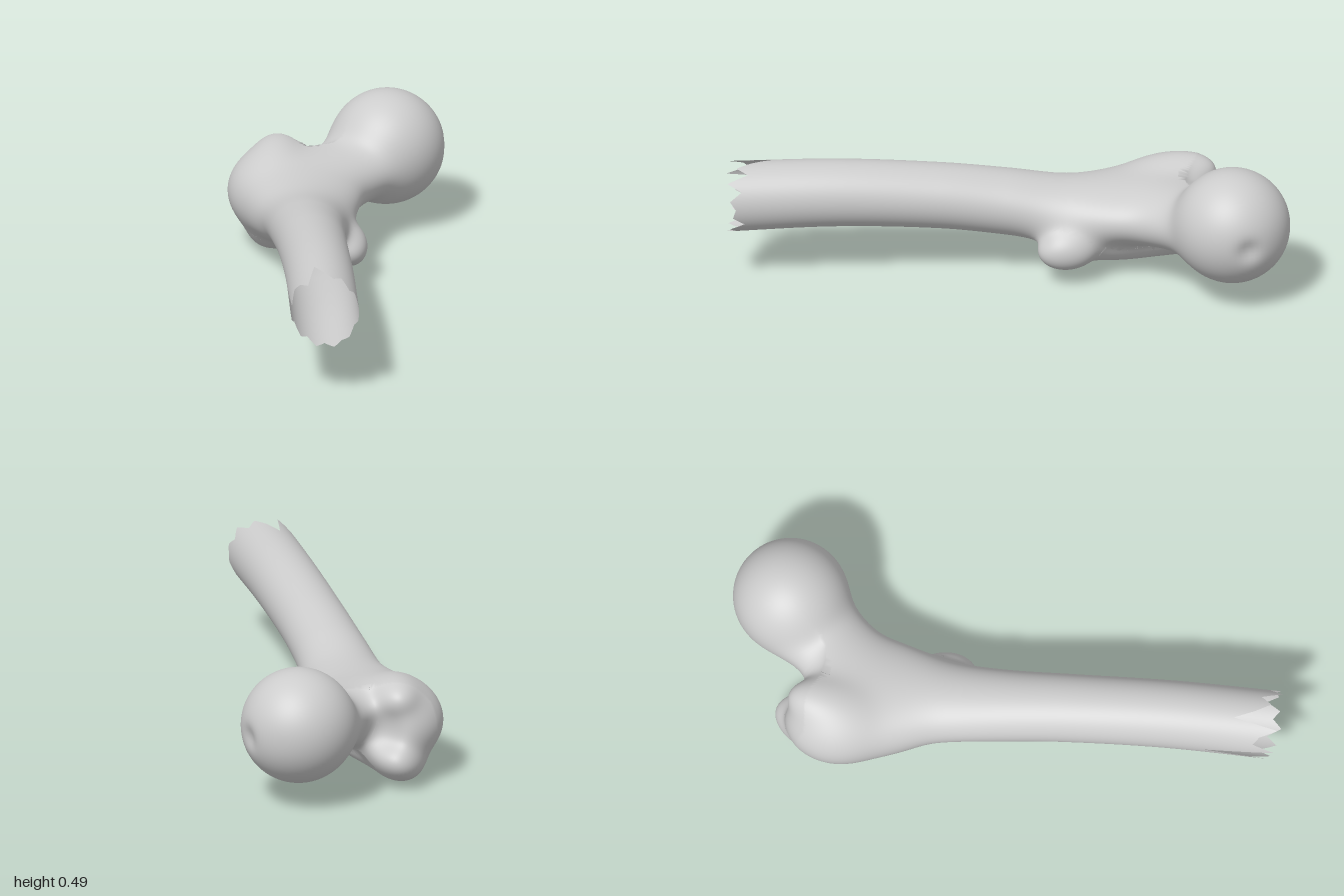
import * as THREE from 'three';

const BLEND = 0.029; // width of the fillets between parts
const Z = new THREE.Vector3(0, 0, 1);

// Ellipsoidal parts: centre, radii and direction of the long (z) axis
const lump = (name, center, radii, dir = [0, 0, 1]) => {
  const turn = new THREE.Quaternion().setFromUnitVectors(Z, new THREE.Vector3(...dir).normalize());
  return { name, c: new THREE.Vector3(...center), r: new THREE.Vector3(...radii), turn, back: turn.clone().invert() };
};
const lumps = [
  lump('head', [0.178, 0.295, -0.797], [0.202, 0.204, 0.202]),
  lump('neck', [0.035, 0.25, -0.625], [0.15, 0.098, 0.31], [-0.61, -0.1, 0.79]),
  lump('greaterTrochanter', [-0.23, 0.215, -0.56], [0.138, 0.125, 0.165]),
  lump('trochanterTop', [-0.2, 0.3, -0.585], [0.075, 0.072, 0.14], [0, 0.25, -1]),
  lump('trochanterFlank', [-0.2, 0.195, -0.42], [0.1, 0.09, 0.18], [-0.25, 0, -1]),
  lump('trochanterHook', [-0.195, 0.108, -0.59], [0.11, 0.086, 0.185], [0.06, 0.02, -1]),
  lump('trochantericCrest', [-0.06, 0.105, -0.385], [0.06, 0.055, 0.2], [0.5, 0.2, 0.8]),
  lump('lesserTrochanter', [0.073, 0.132, -0.205], [0.056, 0.06, 0.088], [0.1, 0, 1]),
];

// Shaft sections: z, centre x, half width, centre y, half height
const sections = [
  [-0.6, -0.09, 0.18, 0.25, 0.085], [-0.4, -0.09, 0.188, 0.235, 0.102], [-0.2, -0.083, 0.147, 0.23, 0.113],
  [0, -0.067, 0.13, 0.26, 0.115], [0.24, -0.04, 0.122, 0.293, 0.115], [0.6, 0, 0.12, 0.318, 0.119],
  [1, 0.037, 0.121, 0.315, 0.125],
];
function sectionAt(z) {
  const last = sections.length - 1;
  let i = 0;
  while (i < last - 1 && z > sections[i + 1][0]) i++;
  const at = (n) => sections[Math.min(last, Math.max(0, n))];
  const a = at(i), b = at(i + 1);
  const span = b[0] - a[0];
  const t = THREE.MathUtils.clamp((z - a[0]) / span, 0, 1);
  const slope = (n, k) => (at(n + 1)[k] - at(n - 1)[k]) / (at(n + 1)[0] - at(n - 1)[0]) * span;
  const t2 = t * t, t3 = t2 * t;
  return [1, 2, 3, 4].map((k) =>
    (2 * t3 - 3 * t2 + 1) * a[k] + (t3 - 2 * t2 + t) * slope(i, k)
    + (3 * t2 - 2 * t3) * b[k] + (t3 - t2) * slope(i + 1, k));
}

// Approximate distances to the parts
const q = new THREE.Vector3();
function lumpDistance(p, { c, r, back }) {
  q.copy(p).sub(c).applyQuaternion(back).divide(r);
  const k0 = q.length();
  const k1 = q.divide(r).length();
  return k1 < 1e-6 ? -Math.min(r.x, r.y, r.z) : k0 * (k0 - 1) / k1;
}
function shaftDistance(p) {
  const [cx, rx, cy, ry] = sectionAt(p.z);
  const x = (p.x - cx) / rx, y = (p.y - cy) / ry;
  const k0 = Math.hypot(x, y), k1 = Math.hypot(x / rx, y / ry);
  const side = k1 < 1e-6 ? -ry : k0 * (k0 - 1) / k1;
  return Math.max(side, -0.6 - p.z);
}

// Hollows: the pit on the head and the one behind the trochanter
const pits = [
  { c: new THREE.Vector3(0.362, 0.28, -0.86), depth: 0.018, size: 0.04 },
  { c: new THREE.Vector3(-0.13, 0.22, -0.74), depth: 0.045, size: 0.06 },
];
function distance(p) {
  let sum = Math.exp(-shaftDistance(p) / BLEND);
  for (const l of lumps) sum += Math.exp(-lumpDistance(p, l) / BLEND);
  let d = -BLEND * Math.log(Math.max(sum, 1e-200));
  for (const { c, depth, size } of pits) d += depth * Math.exp(-p.distanceToSquared(c) / (size * size));
  return d;
}
const e = 0.0015, probe = new THREE.Vector3();
function gradient(p, out) {
  for (const k of ['x', 'y', 'z']) {
    probe.copy(p)[k] += e;
    const d = distance(probe);
    probe[k] -= 2 * e;
    out[k] = (d - distance(probe)) / (2 * e);
  }
  return out;
}

// Move a part's vertices onto the blended surface, leaving buried ones inside
function blend(geometry, keepZ = false) {
  const pos = geometry.attributes.position;
  const normals = new Float32Array(pos.count * 3);
  const p = new THREE.Vector3(), g = new THREE.Vector3();
  for (let i = 0; i < pos.count; i++) {
    p.fromBufferAttribute(pos, i);
    const fade = THREE.MathUtils.smoothstep(distance(p), -4 * BLEND, -2.2 * BLEND);
    for (let n = 0; n < 5 && fade > 0; n++) {
      const d = THREE.MathUtils.clamp(distance(p), -0.03, 0.03);
      gradient(p, g);
      if (keepZ && p.z > 0.2) g.z = 0;
      p.addScaledVector(g, -d * fade / Math.max(g.lengthSq(), 0.25));
    }
    pos.setXYZ(i, p.x, p.y, p.z);
    gradient(p, g).normalize().toArray(normals, i * 3);
  }
  geometry.setAttribute('normal', new THREE.BufferAttribute(normals, 3));
  return geometry;
}

// Hollow shaft, open at a splintered end
const splinters = [0.95, 0.97, 0.93, 0.98, 0.91, 0.95, 0.9, 0.83, 0.99, 0.93, 0.91, 0.99,
  0.74, 0.96, 0.9, 0.97, 0.92, 0.98, 0.94, 0.985, 0.95, 0.97, 0.92, 0.96];
function shaftGeometry() {
  const around = 96, rows = 80, points = [], index = [];
  for (let j = 0; j <= rows; j++) {
    for (let i = 0; i <= around; i++) {
      const s = (i % around) / around * splinters.length, n = Math.floor(s);
      const end = THREE.MathUtils.lerp(splinters[n], splinters[(n + 1) % splinters.length], s - n);
      const z = THREE.MathUtils.lerp(-0.598, end, j / rows);
      const [cx, rx, cy, ry] = sectionAt(z);
      const a = i / around * Math.PI * 2;
      points.push(cx + rx * Math.cos(a), cy + ry * Math.sin(a), z);
      if (j < rows && i < around) {
        const v = j * (around + 1) + i, w = v + around + 1;
        index.push(v, v + 1, w, v + 1, w + 1, w);
      }
    }
  }
  const geometry = new THREE.BufferGeometry();
  geometry.setAttribute('position', new THREE.Float32BufferAttribute(points, 3));
  geometry.setIndex(index);
  return geometry;
}

export function createModel() {
  const group = new THREE.Group();
  group.name = 'thighBone';
  const bone = new THREE.MeshStandardMaterial({ color: 0xcccccc, side: THREE.DoubleSide });
  bone.name = 'boneGrey';
  const add = (name, geometry) => {
    const mesh = new THREE.Mesh(geometry, bone);
    mesh.name = name;
    group.add(mesh);
  };

  add('shaft', blend(shaftGeometry(), true));
  for (const l of lumps) {
    const geometry = new THREE.SphereGeometry(1, 72, 48);
    geometry.scale(l.r.x, l.r.y, l.r.z).applyQuaternion(l.turn).translate(l.c.x, l.c.y, l.c.z);
    add(l.name, blend(geometry));
  }
  return group;
}
